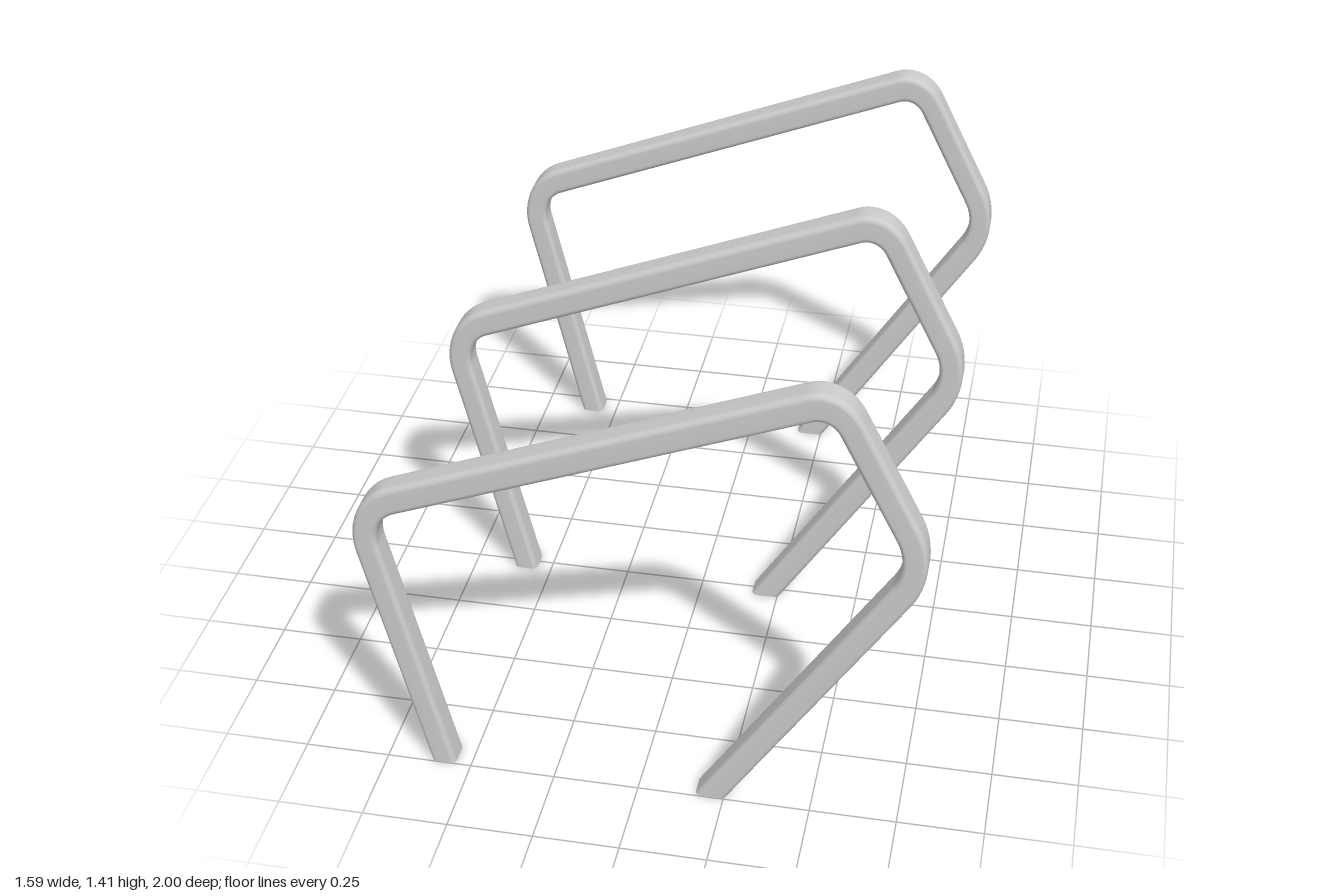
import * as THREE from 'three';

const SQUASH = 0.81;      // frames are narrowed in x after sweeping
const HALF = 0.043;       // half thickness of the bar
const ROUND = 0.018;      // rounding of the bar's long edges
const BEND_STEPS = 12;

// Rounded-square section as [outward, z] pairs, counter-clockwise
function barSection() {
  const ring = [];
  const c = HALF - ROUND;
  for (let q = 0; q < 4; q++) {
    const mid = (q + 0.5) * Math.PI / 2;
    for (let k = 0; k <= 4; k++) {
      const a = (q + k / 4) * Math.PI / 2;
      ring.push([
        c * Math.sign(Math.cos(mid)) + ROUND * Math.cos(a),
        c * Math.sign(Math.sin(mid)) + ROUND * Math.sin(a),
      ]);
    }
  }
  return ring;
}

// Stations along the bent centre line: point p and outward offset direction n
function barStations() {
  const v = (x, y) => new THREE.Vector2(x / SQUASH, y);
  const pts = [v(-0.582, 0), v(-0.789, 0.873), v(0.535, 1.387), v(0.789, 0.888), v(0.212, 0)];
  const setback = [0, 0.135, 0.095, 0.125];
  const dirs = pts.slice(1).map((p, i) => p.clone().sub(pts[i]).normalize());
  // Feet are cut level with the ground
  const foot = (p, d) => ({ p, n: new THREE.Vector2(-1 / d.y, 0) });

  const stations = [foot(pts[0], dirs[0])];
  for (let i = 1; i <= 3; i++) {
    const a0 = Math.atan2(dirs[i - 1].y, dirs[i - 1].x);
    let turn = Math.atan2(dirs[i].y, dirs[i].x) - a0;
    if (turn > 0) turn -= 2 * Math.PI;
    const radius = setback[i] / Math.tan(-turn / 2);
    const normal = (a) => new THREE.Vector2(-Math.sin(a), Math.cos(a));
    const centre = pts[i].clone()
      .addScaledVector(dirs[i - 1], -setback[i])
      .addScaledVector(normal(a0), -radius);
    for (let k = 0; k <= BEND_STEPS; k++) {
      const n = normal(a0 + turn * k / BEND_STEPS);
      stations.push({ p: centre.clone().addScaledVector(n, radius), n });
    }
  }
  stations.push(foot(pts[4], dirs[3]));
  return stations;
}

// Sweep the section along the stations and close both feet
function barGeometry() {
  const ring = barSection();
  const stations = barStations();
  const count = ring.length;
  const pos = [];
  const index = [];
  const addRing = ({ p, n }) => {
    const start = pos.length / 3;
    for (const [u, z] of ring) pos.push((p.x + n.x * u) * SQUASH, p.y + n.y * u, z);
    return start;
  };

  stations.forEach((s, i) => {
    const b = addRing(s);
    if (i === 0) return;
    const a = b - count;
    for (let j = 0; j < count; j++) {
      const k = (j + 1) % count;
      index.push(a + j, a + k, b + k, a + j, b + k, b + j);
    }
  });

  const first = addRing(stations[0]);
  const last = addRing(stations[stations.length - 1]);
  for (let j = 1; j < count - 1; j++) {
    index.push(first, first + j + 1, first + j);
    index.push(last, last + j, last + j + 1);
  }

  const geometry = new THREE.BufferGeometry();
  geometry.setAttribute('position', new THREE.Float32BufferAttribute(pos, 3));
  geometry.setIndex(index);
  geometry.computeVertexNormals();
  return geometry;
}

export function createModel() {
  const group = new THREE.Group();
  group.name = 'bentBarRack';
  const material = new THREE.MeshStandardMaterial({ color: 0xcccccc });
  const geometry = barGeometry();

  // Three identical hoops in a row, front to back
  const hoops = [['frontHoop', 1], ['middleHoop', 0], ['backHoop', -1]];
  for (const [name, side] of hoops) {
    const hoop = new THREE.Mesh(geometry, material);
    hoop.name = name;
    hoop.position.z = side * (1 - HALF);
    group.add(hoop);
  }
  return group;
}
